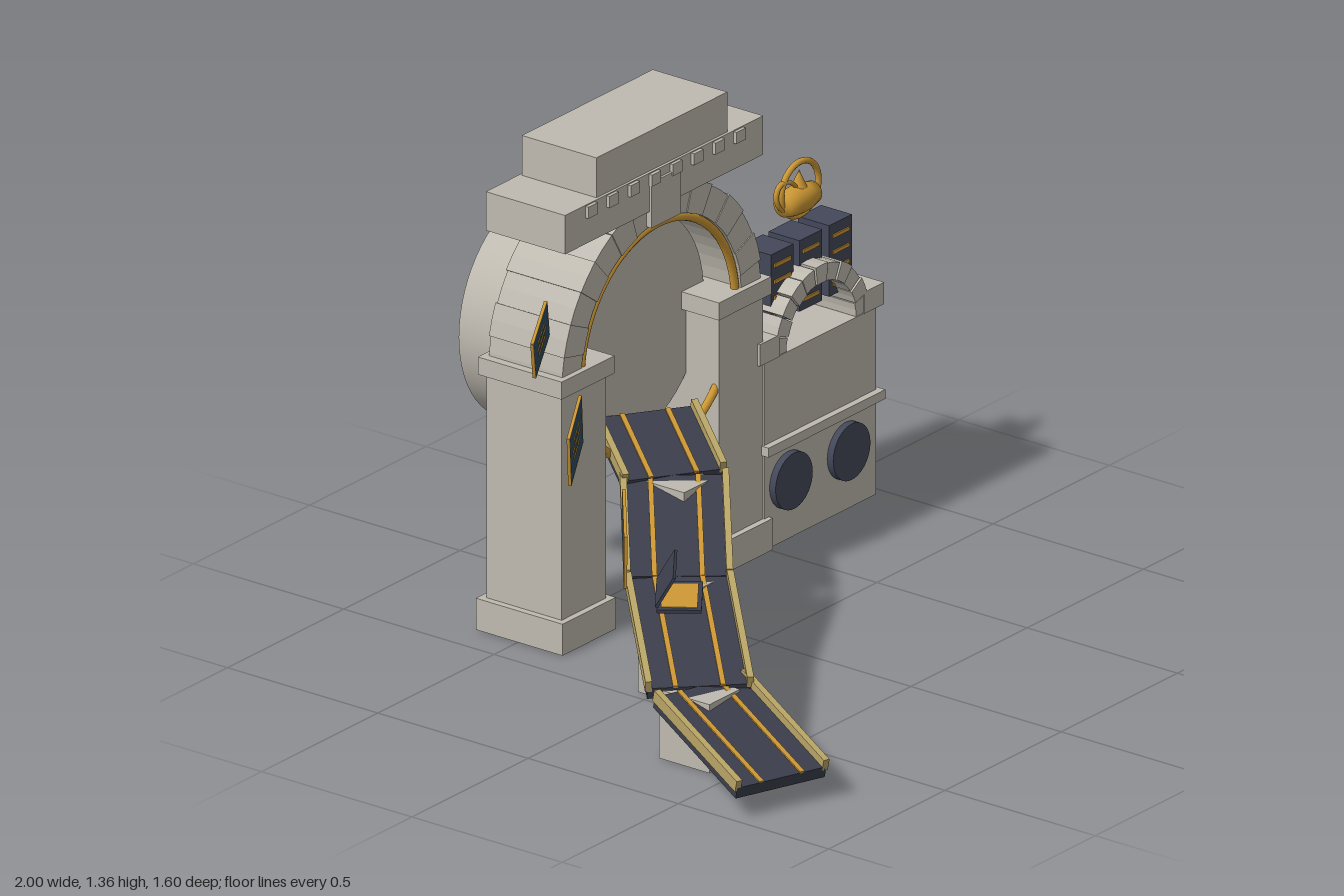
import * as THREE from 'three';

const mat = (name, color) => {
  const m = new THREE.MeshStandardMaterial({ color });
  m.name = name;
  return m;
};

export function createModel() {
  const stone = mat('stone', 0xbfbab0);
  const slate = mat('slate', 0x434859);
  const deckDark = mat('deckDark', 0x3b3e4b);
  const gold = mat('gold', 0xcc9734);
  const rail = mat('railTan', 0xb9a566);
  const blue = mat('tabletBlue', 0x2b4a62);

  const model = new THREE.Group();
  model.name = 'archGateWithRamp';

  const add = (parent, name, geo, material, x = 0, y = 0, z = 0) => {
    const m = new THREE.Mesh(geo, material);
    m.name = name;
    m.position.set(x, y, z);
    parent.add(m);
    return m;
  };
  // box given by its min and max corners
  const block = (parent, name, material, x0, x1, y0, y1, z0, z1) =>
    add(parent, name, new THREE.BoxGeometry(x1 - x0, y1 - y0, z1 - z0), material,
      (x0 + x1) / 2, (y0 + y1) / 2, (z0 + z1) / 2);
  const group = (name, parent = model) => {
    const g = new THREE.Group();
    g.name = name;
    parent.add(g);
    return g;
  };

  // half-circle arch made of wedge stones
  const arch = (parent, name, cx, cy, ri, ro, n, z0, z1, gap) => {
    const step = Math.PI / n;
    for (let i = 0; i < n; i++) {
      const a = i * step + gap, b = (i + 1) * step - gap;
      const out = ro + (i % 2 ? 0 : -0.004);
      const s = new THREE.Shape([[ri, a], [out, a], [out, (a + b) / 2], [out, b], [ri, b], [ri, (a + b) / 2]]
        .map(([r, t]) => new THREE.Vector2(r * Math.cos(t), r * Math.sin(t))));
      const inset = i % 2 ? 0 : 0.003;
      const geo = new THREE.ExtrudeGeometry(s, { depth: z1 - z0 - 2 * inset, bevelEnabled: false });
      add(parent, name, geo, stone, cx, cy, z0 + inset);
    }
  };

  // ---- gate ----
  const gate = group('gate');
  const cx = 0.056, cy = 0.745;
  for (const s of [-1, 1]) {
    const post = (name, c, w, y0, y1, z0, z1) =>
      block(gate, name, stone, cx + s * c - w / 2, cx + s * c + w / 2, y0, y1, z0, z1);
    post('pillar', 0.338, 0.19, 0.09, 0.73, -0.62, -0.37);
    post('pillarBase', 0.338, 0.23, 0, 0.09, -0.64, -0.352);
    post('capital', 0.338, 0.226, 0.73, 0.78, -0.635, -0.356);
  }
  arch(gate, 'archStone', cx, cy, 0.345, 0.432, 15, -0.62, -0.37, 0);
  block(gate, 'keystone', stone, cx - 0.064, cx + 0.064, 1.09, 1.22, -0.632, -0.357);
  block(gate, 'lintel', stone, -0.37, 0.482, 1.135, 1.246, -0.628, -0.364);
  block(gate, 'topBlock', stone, -0.225, 0.338, 1.246, 1.36, -0.62, -0.372);
  for (let i = 0; i < 8; i++) {
    const x = cx + (i - 3.5) * 0.091;
    block(gate, 'dentil', stone, x - 0.02, x + 0.02, 1.21, 1.243, -0.37, -0.354);
  }
  const drum = add(gate, 'drum', new THREE.CylinderGeometry(0.32, 0.32, 0.32, 64), stone, cx, 0.75, -0.64);
  drum.rotation.x = Math.PI / 2;
  add(gate, 'goldRing', new THREE.TorusGeometry(0.333, 0.012, 10, 72), gold, cx, 0.745, -0.385);

  // ---- annex beside the gate ----
  const annex = group('annex');
  const ax = 0.733;
  block(annex, 'annexBody', stone, 0.49, 0.97, 0, 0.535, -0.622, -0.366);
  block(annex, 'annexLedge', stone, 0.482, 0.984, 0.273, 0.3, -0.39, -0.346);
  block(annex, 'annexCorner', stone, 0.915, 1, 0.535, 0.597, -0.62, -0.362);
  block(annex, 'annexCorner', stone, 0.466, 0.551, 0.535, 0.597, -0.62, -0.362);
  arch(annex, 'smallArchStone', ax, 0.535, 0.15, 0.202, 11, -0.62, -0.362, 0.012);
  for (const x of [0.592, 0.84]) {
    const d = add(annex, 'roundWindow', new THREE.CylinderGeometry(0.08, 0.08, 0.02, 40), slate, x, 0.17, -0.356);
    d.rotation.x = Math.PI / 2;
  }
  for (const x of [0.626, 0.749, 0.877]) {
    block(annex, 'cabinet', slate, x - 0.049, x + 0.049, 0.6, 0.803, -0.515, -0.412);
    for (let i = 0; i < 4; i++)
      add(annex, 'cabinetStripe', new THREE.BoxGeometry(0.07, 0.01, 0.006), gold, x, 0.63 + i * 0.046, -0.411);
  }

  // ---- floating lamp ----
  const lamp = group('lamp');
  lamp.position.set(0.762, 0.888, -0.465);
  const body = add(lamp, 'lampBody', new THREE.LatheGeometry(
    [[0, -0.068], [0.03, -0.066], [0.038, -0.03], [0.04, 0], [0.038, 0.03], [0.03, 0.066], [0, 0.068]]
      .map(([r, y]) => new THREE.Vector2(r, y)), 24), gold);
  body.rotation.z = Math.PI / 2;
  const hoop = add(lamp, 'lampHoop', new THREE.TorusGeometry(0.08, 0.009, 10, 40), gold, 0.008, 0.028, 0);
  hoop.scale.y = 0.95;
  const loop = add(lamp, 'lampLoop', new THREE.TorusGeometry(0.055, 0.008, 10, 32), gold, -0.045, 0.02, 0);
  loop.rotation.z = -0.7;
  loop.scale.y = 0.7;
  add(lamp, 'lampSpire', new THREE.ConeGeometry(0.022, 0.05, 16), gold, 0.005, 0.058, 0);

  // ---- ramp: four straight decks on piers; points give the deck top ----
  const path = [[-0.865, 0.092, 0.74], [-0.722, 0.205, 0.355], [-0.402, 0.33, 0.038],
    [-0.1, 0.454, -0.21], [0.045, 0.532, -0.42]].map((p) => new THREE.Vector3(...p));
  const ramp = group('ramp');
  for (let i = 0; i < path.length - 1; i++) {
    const a = path[i], b = path[i + 1], len = a.distanceTo(b);
    const deck = group('deckSection', ramp);
    deck.position.copy(a).add(b).multiplyScalar(0.5);
    deck.lookAt(b);
    const bar = (name, w, h, x, y, m) => add(deck, name, new THREE.BoxGeometry(w, h, len), m, x, y, 0);
    bar('deckSlab', 0.276, 0.034, 0, -0.017, deckDark);
    for (const s of [-1, 1]) {
      bar('deckRail', 0.018, 0.034, s * 0.135, 0.006, rail);
      bar('deckStripe', 0.014, 0.006, s * 0.063, 0.001, gold);
    }
  }
  for (const [x, z, h] of [[-0.722, 0.355, 0.196], [-0.402, 0.038, 0.322], [-0.1, -0.21, 0.447]]) {
    block(ramp, 'pier', stone, x - 0.066, x + 0.066, 0, h, z - 0.084, z + 0.084);
    if (h > 0.2) {
      const disc = add(ramp, 'pierRoundel', new THREE.CylinderGeometry(0.062, 0.062, 0.178, 32), stone, x, 0.18, z);
      disc.rotation.x = Math.PI / 2;
    }
  }

  // group whose local x follows u and whose z faces outward
  const oriented = (name, pos, u) => {
    const g = group(name);
    const ux = new THREE.Vector3(...u).normalize();
    const n = new THREE.Vector3().crossVectors(ux, new THREE.Vector3(0, 1, 0)).normalize();
    const v = new THREE.Vector3().crossVectors(n, ux);
    g.quaternion.setFromRotationMatrix(new THREE.Matrix4().makeBasis(ux, v, n));
    g.position.set(...pos);
    return g;
  };

  // ---- floating tablets ----
  const tablets = [
    [[-0.86, 0.636, 0.213], [0.193, 0.032, -0.155], 0.25, 0.155],
    [[-0.757, 0.818, -0.032], [0.18, 0.038, -0.1], 0.208, 0.145],
    [[-0.58, 0.982, -0.285], [0.16, 0.05, -0.078], 0.183, 0.112],
  ];
  for (const [pos, u, w, h] of tablets) {
    const t = oriented('tablet', pos, u);
    add(t, 'tabletPlate', new THREE.BoxGeometry(w, h, 0.008), blue);
    for (const s of [-1, 1]) {
      add(t, 'tabletSideTrim', new THREE.BoxGeometry(0.003, h, 0.009), gold, s * w / 2, 0, 0);
      add(t, 'tabletEdgeTrim', new THREE.BoxGeometry(w, 0.003, 0.009), gold, 0, s * h / 2, 0);
    }
    for (let r = -1; r <= 1; r++)
      for (let c = -1; c <= 1; c++)
        add(t, 'tabletMark', new THREE.BoxGeometry(w * (r ? 0.12 : 0.17), 0.007, 0.004), gold,
          c * w * (r ? 0.16 : 0.21), r * h * 0.18, 0.004);
  }

  // ---- floating folding case ----
  const folder = oriented('foldingCase', [-0.722, 0.442, 0.29], [0.13, 0.018, -0.095]);
  add(folder, 'caseBase', new THREE.BoxGeometry(0.155, 0.01, 0.118), deckDark);
  add(folder, 'caseBasePanel', new THREE.BoxGeometry(0.13, 0.004, 0.096), gold, 0, 0.005, 0);
  const lid = group('caseLid', folder);
  lid.position.set(0, 0.012, -0.06);
  lid.rotation.x = 0.5;
  add(lid, 'caseLidPlate', new THREE.BoxGeometry(0.155, 0.1, 0.008), deckDark, 0, 0.05, 0);
  add(lid, 'caseLidPanel', new THREE.BoxGeometry(0.138, 0.084, 0.004), gold, 0, 0.05, 0.004);

  return model;
}
